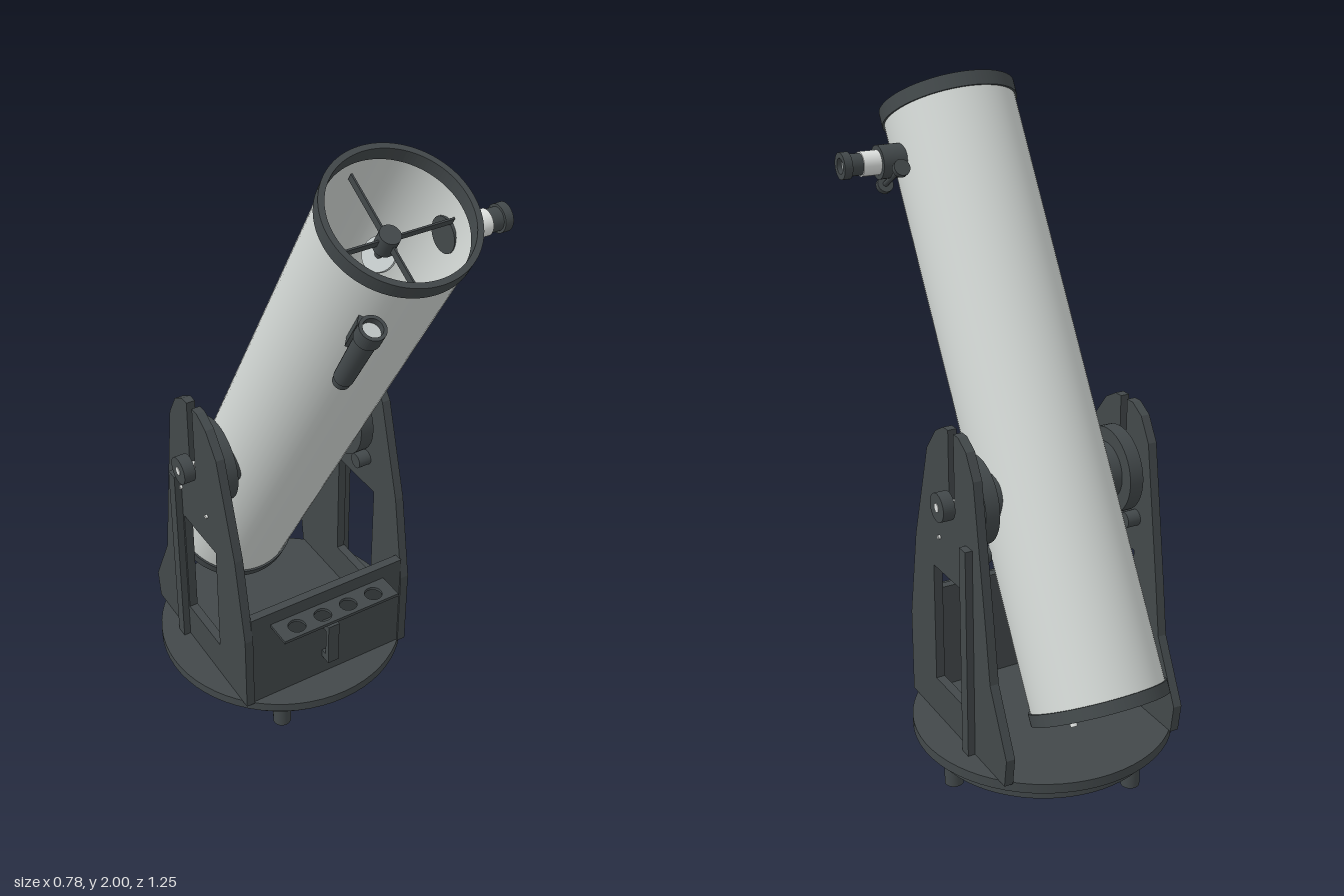
import * as THREE from 'three';

const mat = (name, color, side = THREE.FrontSide) => {
  const m = new THREE.MeshStandardMaterial({ color, side });
  m.name = name;
  return m;
};

export function createModel() {
  const dark = mat('charcoal', 0x42484a);
  const shell = mat('pale grey tube', 0xd2d7d4, THREE.DoubleSide);
  const metal = mat('light metal', 0xdfe2e0);
  const glass = mat('mirror glass', 0xbfc6c6);

  const add = (parent, name, geo, m, x = 0, y = 0, z = 0) => {
    const mesh = new THREE.Mesh(geo, m);
    mesh.name = name;
    mesh.position.set(x, y, z);
    parent.add(mesh);
    return mesh;
  };
  const box = (parent, name, m, w, h, d, x, y, z) =>
    add(parent, name, new THREE.BoxGeometry(w, h, d), m, x, y, z);
  // Cylinder centred at a point, along the named axis
  const cyl = (parent, name, m, r, h, x, y, z, axis = 'y', rBottom = r, seg = 32) => {
    const geo = new THREE.CylinderGeometry(r, rBottom, h, seg);
    if (axis === 'x') geo.rotateZ(-Math.PI / 2);
    if (axis === 'z') geo.rotateX(Math.PI / 2);
    return add(parent, name, geo, m, x, y, z);
  };
  // Hollow ring with square edges, from y = 0 to h
  const ring = (ri, ro, h, seg = 64) => {
    const s = new THREE.Shape().absarc(0, 0, ro, 0, Math.PI * 2);
    s.holes.push(new THREE.Path().absarc(0, 0, ri, 0, Math.PI * 2, true));
    return new THREE.ExtrudeGeometry(s, { depth: h, bevelEnabled: false, curveSegments: seg }).rotateX(-Math.PI / 2);
  };

  const model = new THREE.Group();
  model.name = 'telescope';
  const PY = 0.9, PZ = -0.125; // altitude pivot

  // Turntable base and feet
  const base = new THREE.Group();
  base.name = 'base';
  base.position.z = PZ;
  model.add(base);
  cyl(base, 'turntable', dark, 0.39, 0.03, 0, 0.148, 0, 'y', 0.39, 64);
  cyl(base, 'groundBoard', dark, 0.347, 0.026, 0, 0.098, 0, 'y', 0.347, 64);
  cyl(base, 'centreBolt', metal, 0.011, 0.08, 0, 0.1, 0);
  cyl(base, 'centreNut', metal, 0.022, 0.014, 0, 0.078, 0, 'y', 0.022, 6);
  for (let i = 0; i < 3; i++) {
    const a = (i * Math.PI * 2) / 3;
    const x = 0.3 * Math.cos(a), z = 0.3 * Math.sin(a);
    cyl(base, 'foot', dark, 0.028, 0.09, x, 0.045, z);
    cyl(base, 'glidePad', dark, 0.02, 0.03, x, 0.122, z);
  }

  // Side board outline in (z, y), with open-topped slot and window
  const outline = [
    [0.165, 0.162], [0.165, 0.43], [0.117, 0.71], [0.027, 1.015], [-0.03, 1.085], [-0.08, 1.112], [-0.109, 1.112],
    [-0.109, 0.9], [-0.141, 0.9], [-0.141, 1.112], [-0.17, 1.112], [-0.215, 1.085], [-0.255, 1.015],
    [-0.318, 0.6], [-0.34, 0.44], [-0.432, 0.25], [-0.42, 0.162],
  ].map(([z, y]) => new THREE.Vector2(z, y));
  const boardShape = new THREE.Shape(outline);
  boardShape.holes.push(new THREE.Path([[0, 0.285], [0, 0.66], [-0.2, 0.66], [-0.2, 0.285]]
    .map(([z, y]) => new THREE.Vector2(z, y))));
  const boardGeo = new THREE.ExtrudeGeometry(boardShape, { depth: 0.027, bevelEnabled: false });
  boardGeo.rotateY(-Math.PI / 2).translate(0.0135, 0, 0);

  for (const s of [-1, 1]) {
    const side = new THREE.Group();
    side.name = s > 0 ? 'leftSupport' : 'rightSupport';
    model.add(side);
    add(side, 'sideBoard', boardGeo, dark, s * 0.2765);
    box(side, 'brace', dark, 0.024, 0.648, 0.037, s * 0.3, 0.486, -0.226);
    // Altitude bearing: stepped disc, shaft and clamp knob
    cyl(side, 'bearingHub', dark, 0.085, 0.04, s * 0.195, PY, PZ, 'x');
    cyl(side, 'bearingDisc', dark, 0.128, 0.043, s * 0.23, PY, PZ, 'x', 0.128, 48);
    cyl(side, 'bearingCap', dark, 0.08, 0.008, s * 0.254, PY, PZ, 'x');
    cyl(side, 'pivotShaft', metal, 0.013, 0.09, s * 0.293, PY, PZ, 'x', 0.013, 16);
    const knob = ring(0.013, 0.042, 0.036, 24).rotateZ(-Math.PI / 2);
    add(side, 'clampKnob', knob, dark, s > 0 ? 0.3 : -0.336, PY, PZ);
    // Rollers that carry the bearing disc
    for (const z of [-0.045, -0.205]) {
      cyl(side, 'roller', dark, 0.024, 0.042, s * 0.243, 0.768, z, 'x', 0.024, 20);
      cyl(side, 'rollerBolt', metal, 0.006, 0.04, s * 0.277, 0.768, z, 'x', 0.006, 12);
    }
  }

  // Front panel, pull handle and eyepiece rack
  box(model, 'frontPanel', dark, 0.53, 0.34, 0.027, 0, 0.332, 0.146);
  box(model, 'handleBar', dark, 0.038, 0.15, 0.016, 0, 0.31, 0.189);
  for (const y of [0.248, 0.372]) box(model, 'handleMount', dark, 0.038, 0.026, 0.03, 0, y, 0.17);
  const rackShape = new THREE.Shape([[-0.2, 0], [0.2, 0], [0.2, 0.088], [-0.2, 0.088]]
    .map(([x, y]) => new THREE.Vector2(x, y)));
  for (let i = 0; i < 4; i++)
    rackShape.holes.push(new THREE.Path().absarc(-0.135 + i * 0.09, 0.048, 0.027, 0, Math.PI * 2, true));
  const rackGeo = new THREE.ExtrudeGeometry(rackShape, { depth: 0.01, bevelEnabled: false }).rotateX(Math.PI / 2);
  add(model, 'eyepieceRack', rackGeo, dark, 0, 0.458, 0.155);

  // Tilted optical tube: local y runs along the tube
  const tube = new THREE.Group();
  tube.name = 'opticalTube';
  tube.position.set(0, PY, PZ);
  tube.rotation.x = Math.PI / 6;
  model.add(tube);
  const TOP = 1.149, BOTTOM = -0.647, R = 0.194;
  add(tube, 'tubeShell', new THREE.CylinderGeometry(R, R, TOP - BOTTOM - 0.01, 64, 1, true), shell, 0, (TOP + BOTTOM) / 2, 0);
  add(tube, 'topRing', ring(0.184, 0.2, 0.042), dark, 0, TOP - 0.042, 0);
  add(tube, 'bottomRing', ring(0.184, 0.2, 0.036), dark, 0, BOTTOM, 0);
  cyl(tube, 'rearCell', dark, 0.186, 0.02, 0, BOTTOM + 0.02, 0, 'y', 0.186, 48);
  cyl(tube, 'primaryMirror', glass, 0.175, 0.03, 0, BOTTOM + 0.07, 0, 'y', 0.175, 48);
  for (let i = 0; i < 3; i++) {
    const a = Math.PI / 2 + (i * Math.PI * 2) / 3;
    cyl(tube, 'collimationScrew', metal, 0.01, 0.03, 0.15 * Math.cos(a), BOTTOM, 0.15 * Math.sin(a), 'y', 0.01, 12);
  }

  // Spider vanes and secondary mirror
  box(tube, 'spiderVane', dark, 0.38, 0.022, 0.005, 0, 1.04, 0);
  box(tube, 'spiderVane', dark, 0.005, 0.022, 0.38, 0, 1.04, 0);
  cyl(tube, 'secondaryHub', dark, 0.028, 0.055, 0, 1.037, 0);
  cyl(tube, 'secondaryStalk', dark, 0.012, 0.04, 0, 0.998, 0);
  cyl(tube, 'secondaryMirror', glass, 0.045, 0.01, 0, 0.98, 0).rotation.z = Math.PI / 4;

  // Focuser, running out along +x
  const FU = 0.98;
  cyl(tube, 'focuserBase', dark, 0.048, 0.075, 0.223, FU, 0, 'x');
  cyl(tube, 'drawTube', metal, 0.035, 0.06, 0.284, FU, 0, 'x');
  cyl(tube, 'eyepieceBarrel', dark, 0.031, 0.05, 0.331, FU, 0, 'x');
  add(tube, 'eyepieceRim', ring(0.022, 0.038, 0.024, 24).rotateZ(-Math.PI / 2), dark, 0.349, FU, 0);
  cyl(tube, 'eyeLens', glass, 0.021, 0.006, 0.356, FU, 0, 'x');
  cyl(tube, 'focusShaft', dark, 0.008, 0.14, 0.225, 0.934, 0, 'z', 0.008, 12);
  for (const z of [-0.068, 0.068]) cyl(tube, 'focusKnob', dark, 0.024, 0.018, 0.225, 0.934, z, 'z', 0.024, 20);

  // Finder scope on its bracket, set off to one side
  const finder = new THREE.Group();
  finder.name = 'finderScope';
  finder.rotation.y = Math.atan2(-0.17, 0.215);
  tube.add(finder);
  const FR = 0.272;
  box(finder, 'finderFoot', dark, 0.045, 0.1, 0.06, 0, 0.94, 0.19);
  box(finder, 'finderBracket', dark, 0.025, 0.13, 0.05, 0, 0.94, 0.23);
  cyl(finder, 'finderBody', dark, 0.029, 0.2, 0, 0.94, FR, 'y', 0.026, 24);
  add(finder, 'finderHood', ring(0.025, 0.034, 0.045, 24), dark, 0, 1.027, FR);
  cyl(finder, 'finderLens', glass, 0.026, 0.006, 0, 1.05, FR, 'y', 0.026, 24);
  cyl(finder, 'finderEyepiece', dark, 0.023, 0.03, 0, 0.833, FR, 'y', 0.023, 24);

  return model;
}
